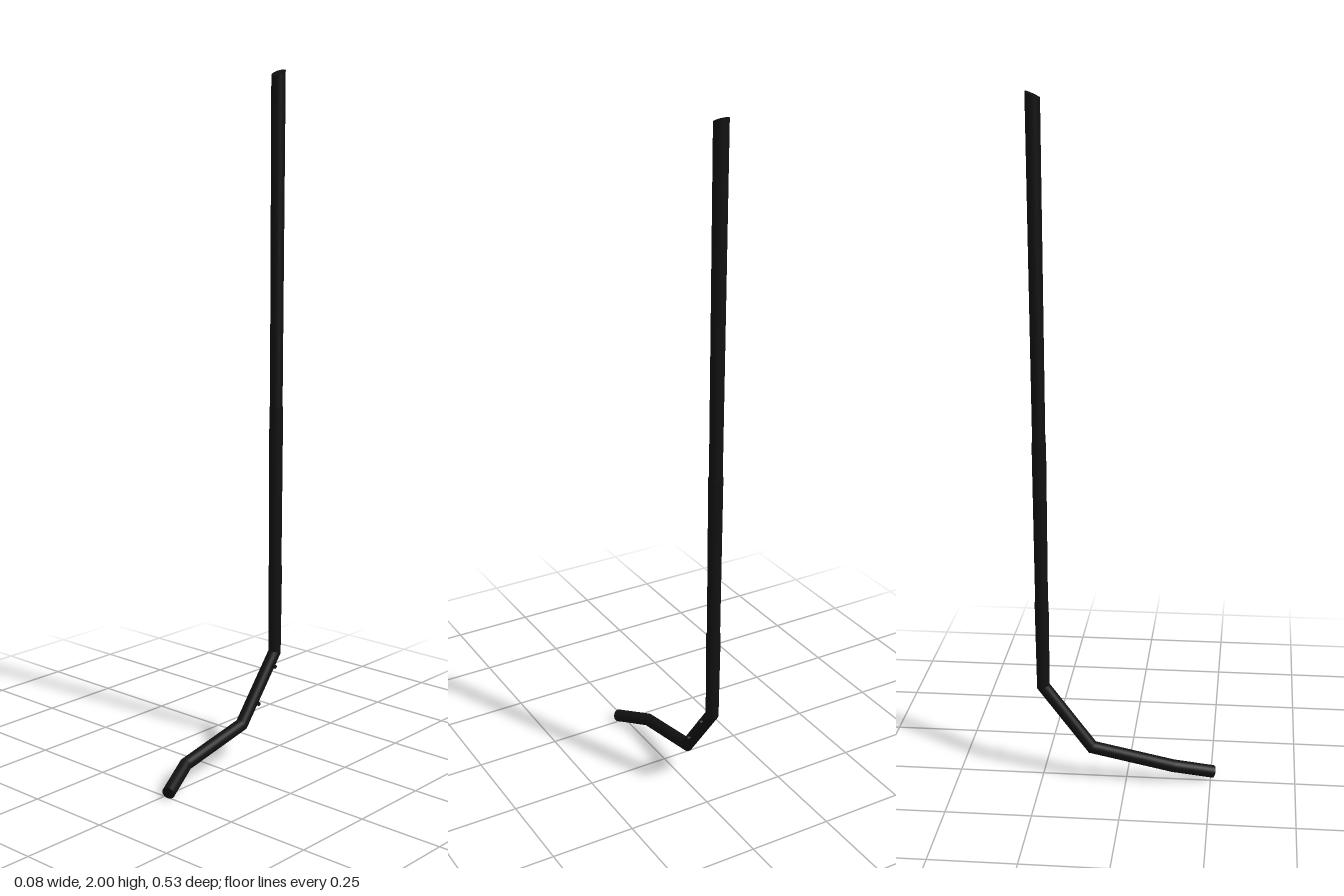
import * as THREE from 'three';

const black = new THREE.MeshStandardMaterial({ color: 0x111111 });
const V = (x, y, z) => new THREE.Vector3(x, y, z);

// Straight pipe from a to b whose ends are cut by planes with normals na and nb.
function pipe(name, a, b, ra, rb, na, nb) {
  const axis = b.clone().sub(a);
  const length = axis.length();
  axis.normalize();
  const geo = new THREE.CylinderGeometry(rb, ra, length, 32, 1);
  geo.applyQuaternion(new THREE.Quaternion().setFromUnitVectors(V(0, 1, 0), axis));
  geo.translate(...a.clone().add(b).multiplyScalar(0.5).toArray());

  // Slide each vertex along the axis until it lies on the cutting plane.
  const pos = geo.attributes.position, nor = geo.attributes.normal;
  const p = V(0, 0, 0), n = V(0, 0, 0);
  for (let i = 0; i < pos.count; i++) {
    p.fromBufferAttribute(pos, i);
    n.fromBufferAttribute(nor, i);
    const atEnd = p.clone().sub(a).dot(axis) > length / 2;
    const end = atEnd ? b : a;
    const cut = atEnd ? nb : na;
    p.addScaledVector(axis, end.clone().sub(p).dot(cut) / axis.dot(cut));
    pos.setXYZ(i, p.x, p.y, p.z);
    const facing = n.dot(axis);
    if (Math.abs(facing) > 0.9) {
      const s = Math.sign(facing) * Math.sign(cut.dot(axis));
      nor.setXYZ(i, cut.x * s, cut.y * s, cut.z * s);
    }
  }
  const mesh = new THREE.Mesh(geo, black);
  mesh.name = name;
  return mesh;
}

export function createModel() {
  const group = new THREE.Group();
  group.name = 'bentPipe';

  const thin = 0.0185, wide = 0.0203;
  // Centre line from the top down; each entry names the section below it.
  const path = [
    { at: V(-0.017, 1.99, -0.246), name: 'upperTube', top: wide },
    { at: V(-0.017, 1.04, -0.245), name: 'middleTube', top: wide },
    { at: V(-0.017, 0.56, -0.245), name: 'lowerTube', top: wide },
    { at: V(-0.017, 0.295, -0.244), name: 'slopingNeck', top: thin },
    { at: V(-0.0215, 0.105, -0.1), name: 'lowArm', top: thin },
    { at: V(-0.0215, 0.055, 0.14), name: 'outletTip', top: thin },
    { at: V(0.022, 0.018, 0.257) },
  ];
  const last = path.length - 1;
  const dir = (i) => path[i + 1].at.clone().sub(path[i].at).normalize();

  // Slanted cut at the top, mitres at the bends, square cut at the outlet.
  const cuts = path.map((_, i) => {
    if (i === 0) return V(0, -1, -0.5).normalize();
    if (i === last) return dir(i - 1);
    return dir(i - 1).add(dir(i)).normalize();
  });
  cuts[0].set(0, -1, -0.45).normalize();

  for (let i = 0; i < last; i++) {
    const { at, name, top } = path[i];
    group.add(pipe(name, at, path[i + 1].at, top, thin, cuts[i], cuts[i + 1]));
  }

  // Two small pegs on the left side of the sloping neck
  for (const [y, z, tip] of [[0.26, -0.217, 0.01], [0.163, -0.146, 0.008]]) {
    const peg = new THREE.Mesh(new THREE.CylinderGeometry(0.006, 0.006, 0.025, 16), black);
    peg.rotation.z = Math.PI / 2;
    peg.position.set(tip - 0.0125, y, z);
    peg.name = 'sidePeg';
    group.add(peg);
  }
  return group;
}
